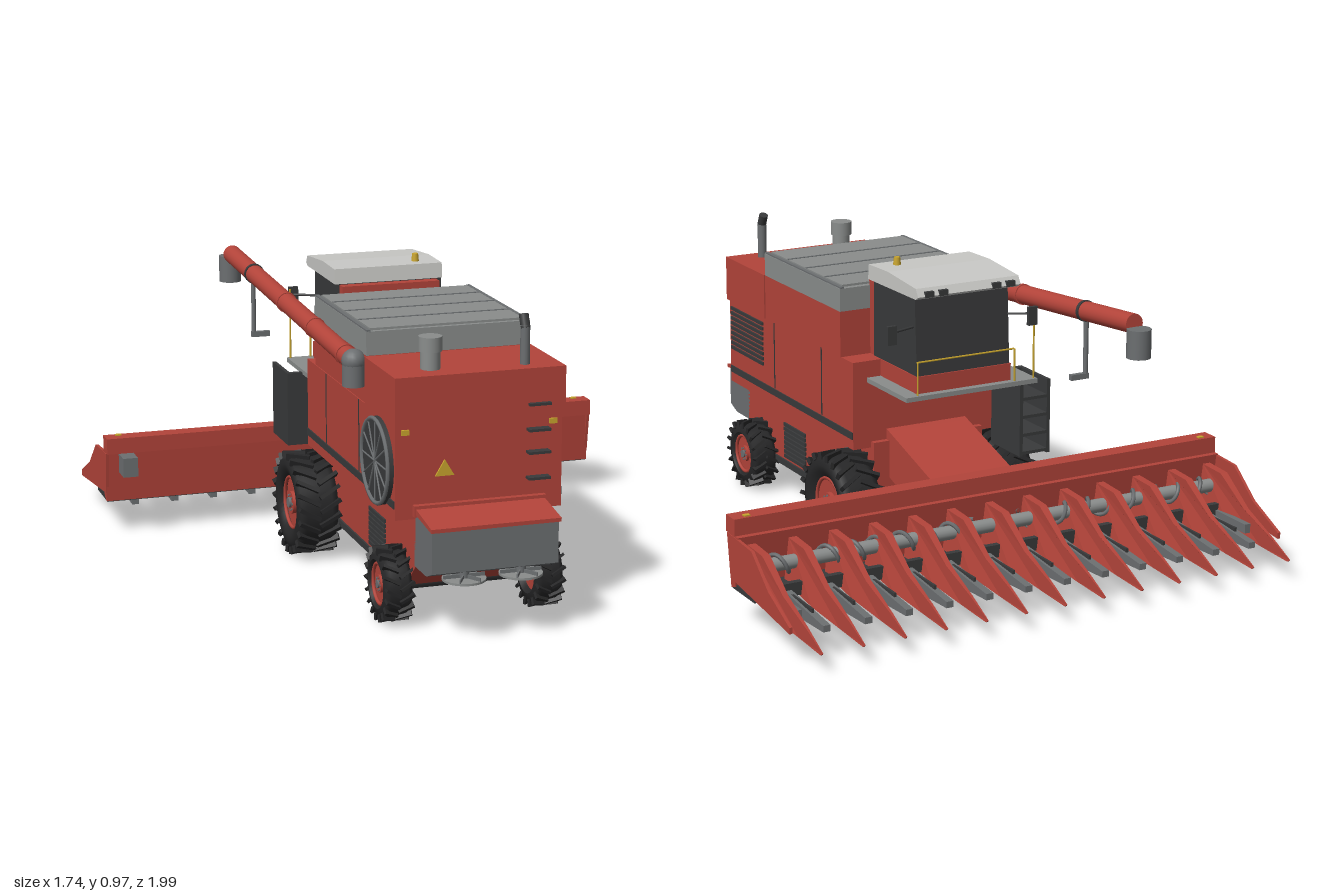
import * as THREE from 'three';

const mat = (name, color) => { const m = new THREE.MeshStandardMaterial({ color }); m.name = name; return m; };

export function createModel() {
  const red = mat('red paint', 0xb3443a), grey = mat('tank grey', 0x8a8d8c), steel = mat('steel grey', 0x6c6f71),
    pale = mat('roof light grey', 0xc9c9c6), dark = mat('dark grey', 0x393a3b), tyreMat = mat('tyre black', 0x262627),
    yellow = mat('yellow', 0xc9a52e);
  const root = new THREE.Group();
  root.name = 'combineHarvester';

  // helpers
  const add = (name, geo, m, parent = root) => {
    const mesh = new THREE.Mesh(geo, m);
    mesh.name = name;
    parent.add(mesh);
    return mesh;
  };
  const box = (name, m, x0, x1, y0, y1, z0, z1, parent) => {
    const g = new THREE.BoxGeometry(x1 - x0, y1 - y0, z1 - z0);
    g.translate((x0 + x1) / 2, (y0 + y1) / 2, (z0 + z1) / 2);
    return add(name, g, m, parent);
  };
  // side profile of [z, y] points, extruded from x0 to x1
  const prismGeo = (pts, x0, x1) => {
    const s = new THREE.Shape(pts.map(p => new THREE.Vector2(p[0], p[1])));
    return new THREE.ExtrudeGeometry(s, { depth: x1 - x0, bevelEnabled: false }).rotateY(-Math.PI / 2).translate(x1, 0, 0);
  };
  const prism = (name, m, pts, x0, x1, parent) => add(name, prismGeo(pts, x0, x1), m, parent);
  const rod = (name, m, a, b, r, parent, seg = 12, r2 = r) => {
    const A = new THREE.Vector3(...a), B = new THREE.Vector3(...b), d = B.clone().sub(A);
    const mesh = add(name, new THREE.CylinderGeometry(r2, r, d.length(), seg), m, parent);
    mesh.position.copy(A).add(B).multiplyScalar(0.5);
    mesh.quaternion.setFromUnitVectors(new THREE.Vector3(0, 1, 0), d.normalize());
    return mesh;
  };

  // main body
  prism('lowerBody', red, [[0.8, 0.2], [0.8, 0.37], [-0.14, 0.37], [-0.14, 0.2], [-0.05, 0.11], [0.7, 0.11]], -0.2, 0.2);
  box('bodySides', red, -0.265, 0.265, 0.35, 0.64, -0.12, 0.8);
  box('rearHood', red, -0.27, 0.27, 0.64, 0.79, 0.515, 0.815);
  box('grainTank', red, -0.262, 0.268, 0.64, 0.79, -0.04, 0.51);
  box('rearLip', red, -0.21, 0.21, 0.36, 0.395, 0.8, 0.82);
  for (const s of [-1, 1]) {
    const x0 = s > 0 ? 0.265 : -0.269, x1 = x0 + 0.004;
    box('beltStripe', dark, x0, x1, 0.385, 0.408, -0.12, 0.795);
    for (const z of [0.45, 0.1]) box('panelSeam', dark, x0, x1 - 0.002, 0.41, 0.64, z - 0.002, z + 0.002);
    const l0 = s > 0 ? 0.2 : -0.206;
    box('sillStripe', dark, l0, l0 + 0.006, 0.11, 0.132, 0.02, 0.6);
    for (let i = 0; i < 8; i++) box('lowerLouvre', dark, l0, l0 + 0.006, 0.142 + i * 0.016, 0.154 + i * 0.016, 0.35, 0.51);
    box('tailLamp', yellow, s * 0.235 - 0.012, s * 0.235 + 0.012, 0.612, 0.628, 0.8, 0.808);
  }
  for (let i = 0; i < 9; i++) box('upperLouvre', dark, 0.265, 0.271, 0.47 + i * 0.0175, 0.481 + i * 0.0175, 0.535, 0.785);

  // round cooling screen with spokes
  const screen = new THREE.Group();
  screen.name = 'coolingScreen';
  screen.position.set(-0.272, 0.5, 0.655);
  root.add(screen);
  rod('screenDisc', dark, [0.01, 0, 0], [-0.008, 0, 0], 0.135, screen, 32);
  add('screenRim', new THREE.TorusGeometry(0.13, 0.007, 6, 32).rotateY(Math.PI / 2).translate(-0.01, 0, 0), steel, screen);
  for (let i = 0; i < 12; i++) {
    const a = i * Math.PI / 6;
    rod('screenSpoke', steel, [-0.01, 0, 0], [-0.01, 0.13 * Math.cos(a), 0.13 * Math.sin(a)], 0.003, screen, 5);
  }

  // tank extension with ribbed cover
  const ext = new THREE.BoxGeometry(0.53, 0.075, 0.55).translate(0.003, 0.8275, 0.235);
  add('tankExtension', ext, grey);
  box('tankCover', grey, -0.245, 0.25, 0.865, 0.872, -0.02, 0.495);
  for (const z of [0.1, 0.235, 0.37]) box('coverSeam', steel, -0.245, 0.25, 0.87, 0.874, z - 0.004, z + 0.004);
  for (const x of [-0.255, 0.26]) box('coverRim', steel, x - 0.006, x + 0.006, 0.86, 0.87, -0.04, 0.51);

  // exhaust and air intake
  rod('exhaust', steel, [0.16, 0.78, 0.755], [0.16, 0.91, 0.755], 0.015);
  rod('exhaustTip', dark, [0.16, 0.9, 0.758], [0.16, 0.94, 0.74], 0.015);
  rod('airIntake', grey, [-0.13, 0.78, 0.725], [-0.13, 0.87, 0.725], 0.03, root, 20);
  rod('airIntakeCap', grey, [-0.13, 0.845, 0.725], [-0.13, 0.89, 0.725], 0.036, root, 20);

  // rear ladder rungs and warning triangle
  for (const y of [0.45, 0.53, 0.6, 0.68]) box('rung', dark, 0.15, 0.22, y - 0.004, y + 0.004, 0.8, 0.83);
  const tri = new THREE.Shape([new THREE.Vector2(-0.03, -0.022), new THREE.Vector2(0.03, -0.022), new THREE.Vector2(0, 0.028)]);
  add('warningTriangle', new THREE.ExtrudeGeometry(tri, { depth: 0.006, bevelEnabled: false }).translate(-0.11, 0.5, 0.8), yellow);

  // straw chopper and spreader discs
  prism('chopper', steel, [[0.79, 0.2], [0.9, 0.2], [0.95, 0.22], [0.95, 0.35], [0.79, 0.37]], -0.2, 0.2);
  prism('chopperLid', red, [[0.79, 0.37], [0.96, 0.35], [0.96, 0.362], [0.79, 0.39]], -0.205, 0.205);
  for (const x of [-0.09, 0.09]) {
    rod('spreaderDisc', grey, [x, 0.188, 0.925], [x, 0.195, 0.925], 0.067, root, 20);
    rod('spreaderShaft', steel, [x, 0.19, 0.925], [x, 0.23, 0.925], 0.015);
    for (let i = 0; i < 6; i++) {
      const fin = box('spreaderFin', steel, 0.01, 0.065, 0, 0.012, -0.002, 0.002);
      fin.position.set(x, 0.194, 0.925);
      fin.rotation.y = i * Math.PI / 3;
    }
  }

  // wheels
  const wheel = (name, side, x, r, w, rim, z, lugs) => {
    const g = new THREE.Group();
    g.name = name;
    g.position.set(side * x, r, z);
    g.scale.x = 1;
    root.add(g);
    const h = w / 2, R = r - 0.012;
    const pts = [[rim, -h * 0.75], [rim + 0.02, -h * 0.95], [R - 0.03, -h], [R - 0.006, -h * 0.88], [R, -h * 0.6], [R, h * 0.6],
      [R - 0.006, h * 0.88], [R - 0.03, h], [rim + 0.02, h * 0.95], [rim, h * 0.75], [rim, -h * 0.75]].map(p => new THREE.Vector2(...p));
    add('tyre', new THREE.LatheGeometry(pts, 40).rotateZ(Math.PI / 2), tyreMat, g);
    rod('rim', red, [-h * 0.6, 0, 0], [h * 0.6, 0, 0], rim * 1.02, g, 32);
    add('rimRing', new THREE.TorusGeometry(rim * 0.96, 0.006, 8, 32).rotateY(Math.PI / 2).translate(side * h * 0.72, 0, 0), red, g);
    rod('hub', red, [0, 0, 0], [side * h * 0.8, 0, 0], rim * 0.42, g, 20);
    rod('hubCap', steel, [0, 0, 0], [side * h * 0.92, 0, 0], rim * 0.2, g, 12);
    for (let i = 0; i < 8; i++) {
      const a = i * Math.PI / 4, c = rim * 0.3;
      rod('wheelBolt', steel, [0, c * Math.cos(a), c * Math.sin(a)], [side * h * 0.84, c * Math.cos(a), c * Math.sin(a)], 0.004, g, 6);
    }
    for (let i = 0; i < lugs * 2; i++) {
      const s = i % 2 ? 1 : -1, pivot = new THREE.Group();
      pivot.name = 'lugPivot';
      pivot.rotation.x = i * Math.PI / lugs;
      g.add(pivot);
      const lug = add('lug', new THREE.BoxGeometry(h * 1.12, r * 0.075, 0.024), tyreMat, pivot);
      lug.position.set(s * h * 0.5, 0, r - 0.013);
      lug.rotation.z = s * 0.5;
    }
  };
  for (const s of [-1, 1]) {
    wheel('driveWheel', s, 0.283, 0.17, 0.14, 0.088, -0.08, 22);
    wheel('steerWheel', s, 0.243, 0.118, 0.09, 0.066, 0.68, 18);
  }
  rod('driveAxle', dark, [-0.26, 0.17, -0.08], [0.26, 0.17, -0.08], 0.04);
  rod('steerAxle', dark, [-0.23, 0.118, 0.68], [0.23, 0.118, 0.68], 0.025);

  // cab
  prism('cabGlass', dark, [[-0.07, 0.64], [-0.07, 0.9], [-0.34, 0.9], [-0.355, 0.64]], -0.172, 0.162);
  box('cabBackWall', red, -0.17, 0.16, 0.64, 0.89, -0.072, -0.035);
  prism('cabRoof', pale, [[-0.065, 0.893], [-0.07, 0.942], [-0.2, 0.945], [-0.38, 0.93], [-0.395, 0.905], [-0.38, 0.895]], -0.187, 0.18);
  for (const x of [-0.15, -0.1, 0.09, 0.14]) box('workLamp', dark, x - 0.015, x + 0.015, 0.902, 0.92, -0.399, -0.385);
  box('cabBase', red, -0.175, 0.165, 0.585, 0.64, -0.36, -0.1);
  box('platform', grey, -0.26, 0.215, 0.57, 0.585, -0.385, -0.12);
  rod('beacon', yellow, [0.105, 0.94, -0.12], [0.105, 0.968, -0.12], 0.013, root, 12, 0.01);
  rod('frontRail', yellow, [-0.18, 0.69, -0.37], [0.17, 0.69, -0.37], 0.003, root, 6);
  for (const [x, y] of [[-0.25, 0.82], [-0.18, 0.69], [0.17, 0.69]]) rod('railPost', yellow, [x, 0.58, -0.375], [x, y, -0.375], 0.003, root, 6);
  for (const [s, x] of [[1, 0.27], [-1, 0.235]]) {
    rod('mirrorArm', dark, [s * 0.17, 0.8, -0.345], [s * x, 0.8, -0.38], 0.004, root, 6);
    box('mirror', dark, s * x - 0.016, s * x + 0.016, 0.765, 0.825, -0.395, -0.382);
  }

  // access ladder beside the feeder
  for (const x of [-0.305, -0.205]) box('ladderSide', dark, x - 0.006, x + 0.006, 0.33, 0.575, -0.38, -0.2);
  box('ladderBack', dark, -0.3, -0.2, 0.33, 0.575, -0.22, -0.2);
  for (let i = 0; i < 4; i++) box('ladderStep', dark, -0.3, -0.2, 0.335 + i * 0.06, 0.345 + i * 0.06, -0.38, -0.2);

  // unloading auger, lying along the side
  const auger = (z) => [-0.29 + (z - 0.47) * 0.03, 0.765 - (z - 0.47) * 0.073, z];
  rod('augerElbow', steel, [-0.29, 0.69, 0.47], [-0.29, 0.77, 0.47], 0.036, root, 20);
  add('augerKnuckle', new THREE.SphereGeometry(0.038, 16, 12).translate(-0.29, 0.768, 0.47), steel);
  rod('augerTube', red, auger(0.47), auger(-0.83), 0.031, root, 20);
  for (const z of [0.4, 0.1, -0.2, -0.56]) rod('augerBand', z < -0.5 ? dark : red, auger(z), auger(z - 0.012), 0.034, root, 20);
  rod('augerSpout', steel, [-0.33, 0.76, -0.855], [-0.33, 0.85, -0.855], 0.038, root, 20);
  rod('augerBracket', steel, [-0.325, 0.82, -0.565], [-0.325, 0.63, -0.565], 0.008);
  box('augerBracketFoot', steel, -0.333, -0.27, 0.622, 0.64, -0.573, -0.557);

  // feeder house
  prism('feederHouse', red, [[-0.1, 0.41], [-0.14, 0.4], [-0.47, 0.3], [-0.49, 0.14], [-0.25, 0.21], [-0.1, 0.26]], -0.145, 0.145);
  for (const x of [-0.17, 0.17]) rod('liftRam', steel, [x, 0.2, -0.1], [x, 0.17, -0.48], 0.012);
  rod('headerStand', dark, [0.16, 0.2, -0.29], [0.16, 0.1, -0.32], 0.006);

  // row-crop header
  const header = new THREE.Group();
  header.name = 'header';
  root.add(header);
  box('topBeam', red, -0.868, 0.868, 0.28, 0.333, -0.51, -0.45, header);
  prism('backWall', red, [[-0.47, 0.28], [-0.53, 0.28], [-0.51, 0.12], [-0.48, 0.11]], -0.868, 0.868, header);
  box('deck', dark, -0.865, 0.865, 0.108, 0.125, -0.635, -0.48, header);
  box('deckBar', dark, -0.865, 0.865, 0.125, 0.15, -0.635, -0.615, header);
  rod('crossAuger', grey, [-0.86, 0.195, -0.575], [0.86, 0.195, -0.575], 0.022, header, 16);
  // auger flighting, opposite hands meeting in the middle
  for (const s of [-1, 1]) {
    const pts = [];
    for (let i = 0; i <= 90; i++) {
      const a = i / 10 * Math.PI * 2;
      pts.push(new THREE.Vector3(s * (0.08 + i / 90 * 0.77), 0.195 + 0.03 * Math.cos(a), -0.575 + 0.03 * Math.sin(a)));
    }
    add('flighting', new THREE.TubeGeometry(new THREE.CatmullRomCurve3(pts), 180, 0.007, 5), steel, header);
    const e = s * 0.865;
    prism('endPanel', red, [[-0.46, 0.28], [-0.63, 0.27], [-0.74, 0.18], [-0.88, 0.115], [-0.88, 0.095], [-0.48, 0.14]], e - 0.005, e + 0.005, header);
    box('markerLamp', yellow, s * 0.82 - 0.01, s * 0.82 + 0.01, 0.333, 0.337, -0.5, -0.485, header);
  }
  // tapered snouts with a narrow crest
  const profile = [[-0.53, 0.255], [-0.63, 0.25], [-0.76, 0.165], [-0.9, 0.112], [-1, 0.068], [-0.99, 0.06], [-0.85, 0.068], [-0.7, 0.09], [-0.53, 0.12]];
  for (let i = 0; i < 13; i++) {
    const g = prismGeo(profile, -0.5, 0.5), p = g.attributes.position;
    for (let k = 0; k < p.count; k++) {
      const t = Math.min(1, (p.getZ(k) + 1.003) / 0.4), crest = [0, 1, 2, 3, 4].some(j => Math.abs(p.getY(k) - profile[j][1]) < 1e-4);
      p.setX(k, p.getX(k) * (0.004 + 0.056 * t) * (crest ? 0.45 : 1));
    }
    g.computeVertexNormals();
    add('snout', g, red, header).position.x = (i - 6) * 0.137;
    // row unit between neighbouring snouts
    if (i < 12) {
      const x = (i - 5.5) * 0.137;
      prism('rowUnit', steel, [[-0.62, 0.13], [-0.89, 0.105], [-0.89, 0.085], [-0.55, 0.07], [-0.55, 0.11]], x - 0.012, x + 0.012, header);
      box('rowChain', dark, x - 0.004, x + 0.004, 0.112, 0.126, -0.8, -0.63, header);
    }
  }
  box('headerDrive', steel, -0.825, -0.775, 0.21, 0.275, -0.475, -0.4, header);
  for (const x of [-0.8, 0.8]) box('sideDrive', steel, x - 0.01, x + 0.01, 0.1, 0.13, -0.8, -0.6, header);
  return root;
}
